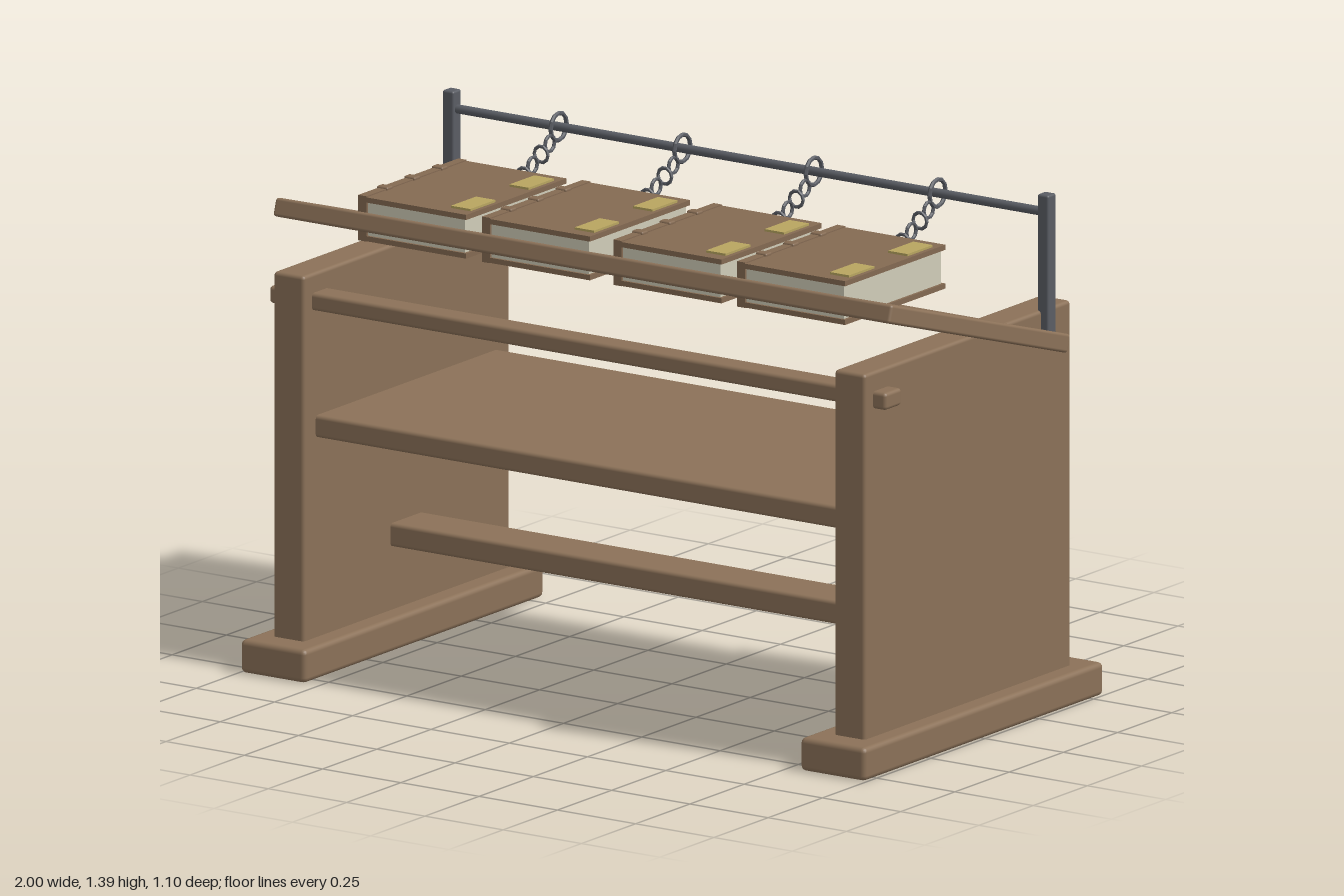
import * as THREE from 'three';
import { RoundedBoxGeometry } from 'three/addons/geometries/RoundedBoxGeometry.js';

const mat = (color, flatShading = false) => new THREE.MeshStandardMaterial({ color, flatShading });
const WOOD = mat(0x8b7158);
const LEATHER = mat(0x846a52);
const PAPER = mat(0xd0ccb8);
const BRASS = mat(0xb8a560);
const IRON = mat(0x5a5d64);
const IRON_FLAT = mat(0x5a5d64, true);

function add(parent, name, geometry, material, x, y, z) {
  const mesh = new THREE.Mesh(geometry, material);
  mesh.name = name;
  mesh.position.set(x, y, z);
  parent.add(mesh);
  return mesh;
}

// Box given by its limits on each axis; bevel > 0 softens the edges
function block(parent, name, material, [x0, x1], [y0, y1], [z0, z1], bevel = 0) {
  const size = [x1 - x0, y1 - y0, z1 - z0];
  const geometry = bevel ? new RoundedBoxGeometry(...size, 2, bevel) : new THREE.BoxGeometry(...size);
  return add(parent, name, geometry, material, (x0 + x1) / 2, (y0 + y1) / 2, (z0 + z1) / 2);
}

// Closed book lying flat, spine towards -x
function makeBook(x) {
  const book = new THREE.Group();
  book.name = 'book';
  book.position.x = x;
  const w = 0.1725;
  const depth = [-0.155, 0.307];
  block(book, 'bottomCover', LEATHER, [-w, w], [1.153, 1.167], depth);
  block(book, 'topCover', LEATHER, [-w, w], [1.258, 1.272], depth);
  block(book, 'spine', LEATHER, [-w, -w + 0.026], [1.152, 1.275], depth);
  block(book, 'pages', PAPER, [-w + 0.02, w - 0.008], [1.165, 1.26], [-0.147, 0.3]);
  for (const z of [-0.05, 0.077, 0.203]) {
    block(book, 'spineBand', LEATHER, [-w - 0.005, -w + 0.031], [1.147, 1.28], [z - 0.014, z + 0.014], 0.005);
  }
  for (const z of [-0.057, 0.212]) {
    block(book, 'clasp', BRASS, [0.098, 0.16], [1.27, 1.278], [z - 0.058, z + 0.058]);
  }
  return book;
}

// Chain from the rod down to the book; every second link is turned a quarter
function makeChain(x) {
  const chain = new THREE.Group();
  chain.name = 'chain';
  chain.position.x = x;
  const rodRing = add(chain, 'rodRing', new THREE.TorusGeometry(0.037, 0.006, 6, 12), IRON_FLAT, 0, 1.345, -0.355);
  rodRing.rotation.y = Math.PI / 2;
  const linkGeometry = new THREE.TorusGeometry(0.022, 0.005, 6, 10);
  for (let i = 0; i < 5; i++) {
    const t = i / 4;
    const link = add(chain, 'chainLink', linkGeometry, IRON_FLAT, 0, 1.225 + 0.083 * t, -0.155 - 0.159 * t);
    if (i % 2 === 0) link.rotation.y = Math.PI / 2;
  }
  return chain;
}

export function createModel() {
  const model = new THREE.Group();
  model.name = 'chainedBookDesk';

  // Two ends: foot, upright panel and iron post
  for (const side of [-1, 1]) {
    const span = (a, b) => (side > 0 ? [a, b] : [-b, -a]);
    block(model, 'foot', WOOD, span(0.79, 0.998), [0, 0.09], [-0.552, 0.552], 0.014);
    block(model, 'endPanel', WOOD, span(0.847, 0.945), [0.08, 1.08], [-0.475, 0.475], 0.01);
    block(model, 'rodPost', IRON, span(0.932, 0.968), [1.01, 1.395], [-0.375, -0.337], 0.006);
  }

  // Cross members
  block(model, 'stretcher', WOOD, [-0.86, 0.86], [0.262, 0.325], [-0.075, 0.075], 0.01);
  block(model, 'shelf', WOOD, [-0.86, 0.86], [0.632, 0.692], [-0.42, 0.42], 0.01);
  block(model, 'frontRail', WOOD, [-0.985, 0.985], [0.98, 1.027], [0.36, 0.437], 0.01);

  // Sloping top, high at the front
  const top = add(model, 'slopedTop', new RoundedBoxGeometry(1.97, 0.05, 0.865, 2, 0.008), WOOD, 0, 1.109, 0.001);
  top.rotation.x = -0.302;

  // Iron rod between the posts
  const rod = add(model, 'rod', new THREE.CylinderGeometry(0.012, 0.012, 1.9, 10), IRON, 0, 1.345, -0.356);
  rod.rotation.z = Math.PI / 2;

  // Four books, each with its chain
  for (const x of [-0.617, -0.222, 0.198, 0.593]) {
    model.add(makeBook(x), makeChain(x + 0.009));
  }
  return model;
}
